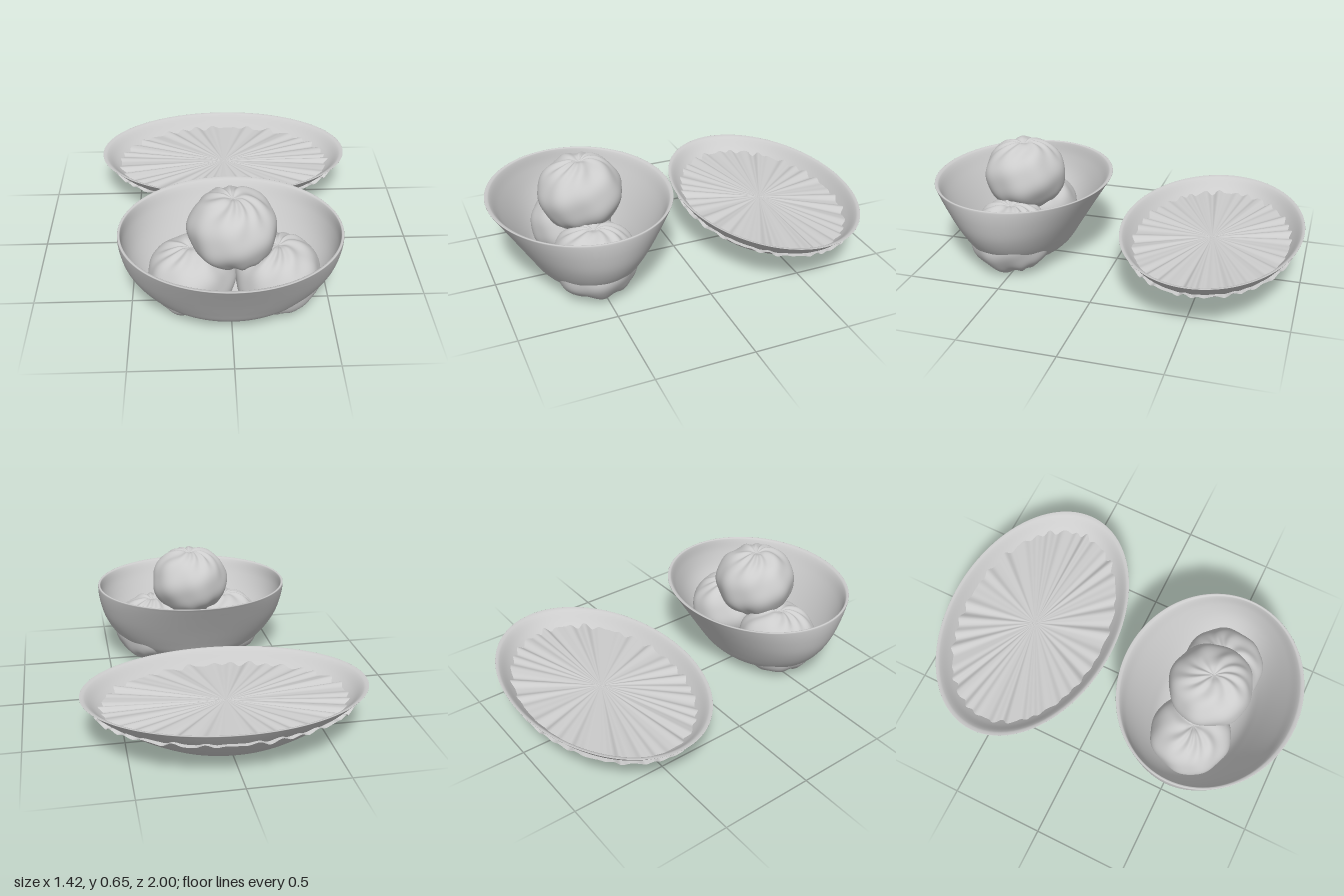
import * as THREE from 'three';

const material = new THREE.MeshStandardMaterial({ color: 0xcccccc, side: THREE.DoubleSide });

// Skin closed rings, listed from bottom to top, with smooth normals
function skin(name, rows, cols, point) {
  const pos = [], index = [];
  for (let i = 0; i <= rows; i++) {
    for (let j = 0; j < cols; j++) {
      pos.push(...point(i / rows, (j / cols) * Math.PI * 2));
      if (i === rows) continue;
      const a = i * cols + j, b = i * cols + ((j + 1) % cols);
      index.push(a, a + cols, b, b, a + cols, b + cols);
    }
  }
  const geo = new THREE.BufferGeometry();
  geo.setAttribute('position', new THREE.Float32BufferAttribute(pos, 3));
  geo.setIndex(index);
  geo.computeVertexNormals();
  const mesh = new THREE.Mesh(geo, material);
  mesh.name = name;
  return mesh;
}

// Oval vessel: each profile point is [x radius, height, z radius];
// the profile runs up the outside, over the rim and down the inside
function vessel(name, profile, wall) {
  const outer = profile.map(p => new THREE.Vector3(...p));
  const inner = outer.slice(0, -1).reverse().map(p => new THREE.Vector3(
    Math.max(0, p.x - wall), p.y + wall * 0.6, Math.max(0, p.z - wall)));
  const last = outer[outer.length - 1];
  const rim = new THREE.Vector3(last.x - wall * 0.6, last.y, last.z - wall * 0.6);
  const curve = new THREE.CatmullRomCurve3([...outer, rim, ...inner], false, 'centripetal');
  const pts = curve.getPoints(90);
  return skin(name, 90, 96, (t, a) => {
    const p = pts[Math.round(t * 90)];
    return [p.x * Math.cos(a), p.y, p.z * Math.sin(a)];
  });
}

// Plump bun with twisted pleats gathered into a dimple at both ends
function bun(name, seed) {
  return skin(name, 64, 96, (t, a) => {
    const lat = (t - 0.5) * Math.PI;
    const c = Math.cos(lat), s = Math.sin(lat);
    const near = Math.pow(Math.abs(s), 3);
    const twist = a + 0.5 * near + 0.25 * Math.sin(2 * a + seed);
    const pleat = Math.cos(9 * twist + seed) * near * Math.min(1, c * 2.2);
    const lumps = 0.016 * c * (Math.sin(5 * a + seed + 2 * s) + 0.7 * Math.sin(8 * a - 3 * s + seed * 2))
      + 0.012 * c * Math.sin(7 * lat + 3 * a + seed);
    const r = 1 + 0.045 * pleat + lumps;
    const dimple = 0.09 * Math.exp(-Math.pow(c / 0.12, 2));
    // Slightly boxy section keeps the sides full
    const full = Math.pow(c, 0.88);
    return [0.217 * full * r * Math.cos(a),
      0.185 * (s * r - Math.sign(s) * dimple),
      0.217 * full * r * Math.sin(a)];
  });
}

// Irregular fan of folds for the liner
function folds(a) {
  return 0.5 * Math.sin(34 * a + 1.6 * Math.sin(3 * a)) + 0.3 * Math.sin(23 * a + 1)
    + 0.25 * Math.sin(47 * a + Math.sin(5 * a));
}

export function createModel() {
  const model = new THREE.Group();

  // Deep bowl at the front
  const bowlGroup = new THREE.Group();
  bowlGroup.name = 'bunBowl';
  bowlGroup.position.z = 0.525;
  bowlGroup.add(vessel('bowl', [
    [0, 0.015, 0], [0.1, 0.018, 0.08], [0.2, 0.03, 0.155], [0.285, 0.052, 0.205],
    [0.375, 0.097, 0.255], [0.45, 0.17, 0.3], [0.51, 0.27, 0.36],
    [0.538, 0.37, 0.422], [0.545, 0.44, 0.466], [0.543, 0.455, 0.475],
  ], 0.014));

  // Two buns side by side with a third stacked on top
  const places = [[-0.195, 0.185, 0], [0.232, 0.185, 0], [0.01, 0.462, -0.004]];
  places.forEach((p, i) => {
    const b = bun(['rightBun', 'leftBun', 'topBun'][i], 0.8 + i * 1.7);
    b.position.set(...p);
    bowlGroup.add(b);
  });
  model.add(bowlGroup);

  // Shallow oval dish at the back
  const dishGroup = new THREE.Group();
  dishGroup.name = 'linedDish';
  dishGroup.position.z = -0.525;
  dishGroup.add(vessel('dish', [
    [0, 0.015, 0], [0.14, 0.018, 0.12], [0.27, 0.03, 0.2], [0.36, 0.053, 0.27],
    [0.46, 0.1, 0.33], [0.555, 0.155, 0.38], [0.64, 0.215, 0.428],
    [0.695, 0.266, 0.467], [0.71, 0.278, 0.475],
  ], 0.01));

  // Pleated liner, its wavy edge pushed through the dish wall
  dishGroup.add(skin('pleatedLiner', 28, 320, (t, a) => {
    const u = 1 - t, f = folds(a);
    const r = u * (1 + 0.008 * f * u);
    return [0.655 * r * Math.cos(a), 0.206 + 0.013 * f * Math.pow(u, 1.2), 0.442 * r * Math.sin(a)];
  }));
  model.add(dishGroup);

  return model;
}
